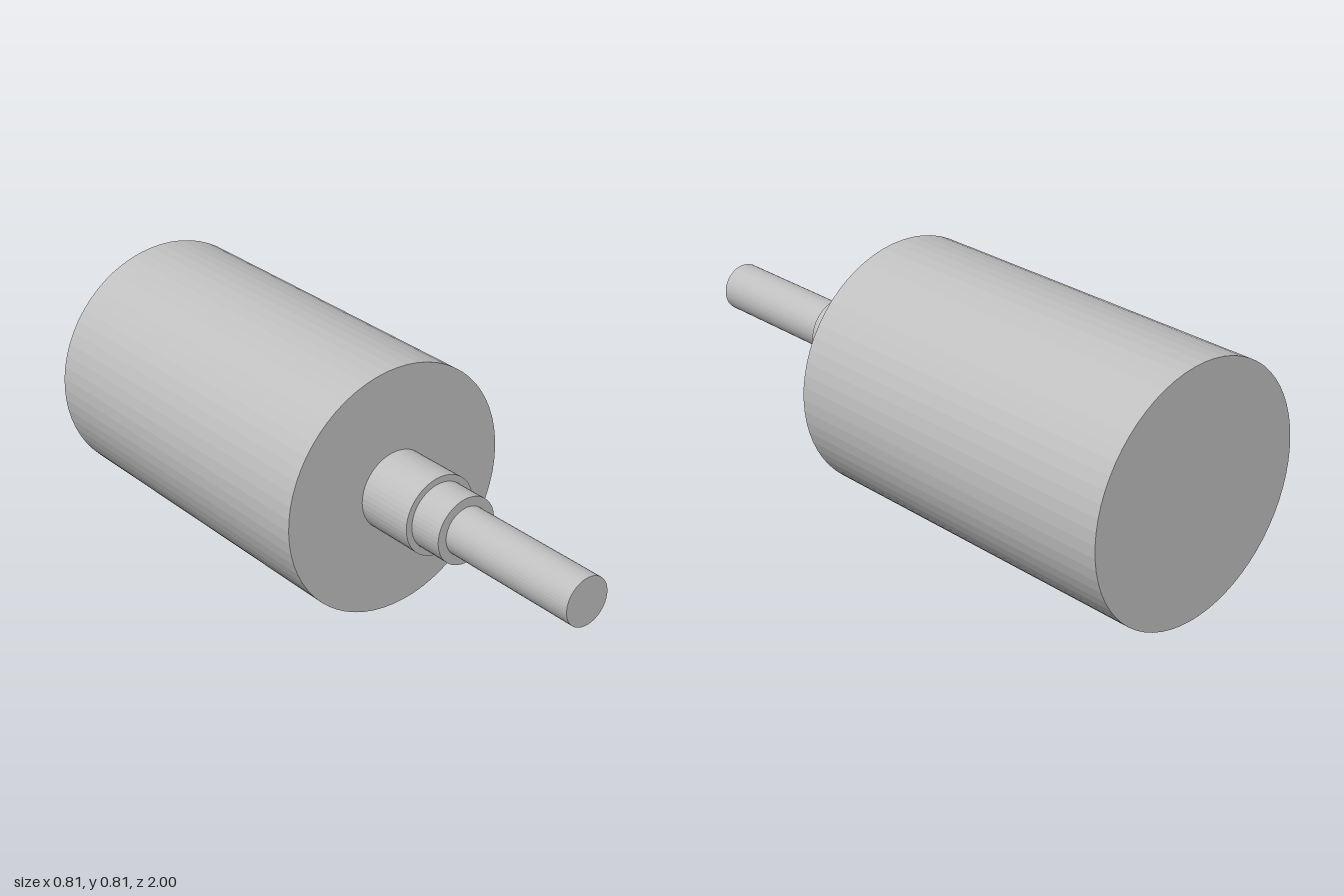
import * as THREE from 'three';

export function createModel() {
  const model = new THREE.Group();
  const grey = new THREE.MeshStandardMaterial({ color: 0xc0c0c0, flatShading: true });
  grey.name = 'grey metal';
  const axisHeight = 0.403;

  // Coaxial round section running along z
  function section(name, radius, zBack, zFront, sides) {
    const geometry = new THREE.CylinderGeometry(radius, radius, zFront - zBack, sides);
    geometry.rotateX(Math.PI / 2);
    const mesh = new THREE.Mesh(geometry, grey);
    mesh.name = name;
    mesh.position.set(0, axisHeight, (zBack + zFront) / 2);
    model.add(mesh);
  }

  section('motorBody', 0.403, -1, 0.195, 64);
  section('bearingCollar', 0.129, 0.195, 0.395, 48);
  section('shaftShoulder', 0.108, 0.395, 0.51, 48);
  section('shaft', 0.078, 0.51, 1, 48);

  return model;
}
